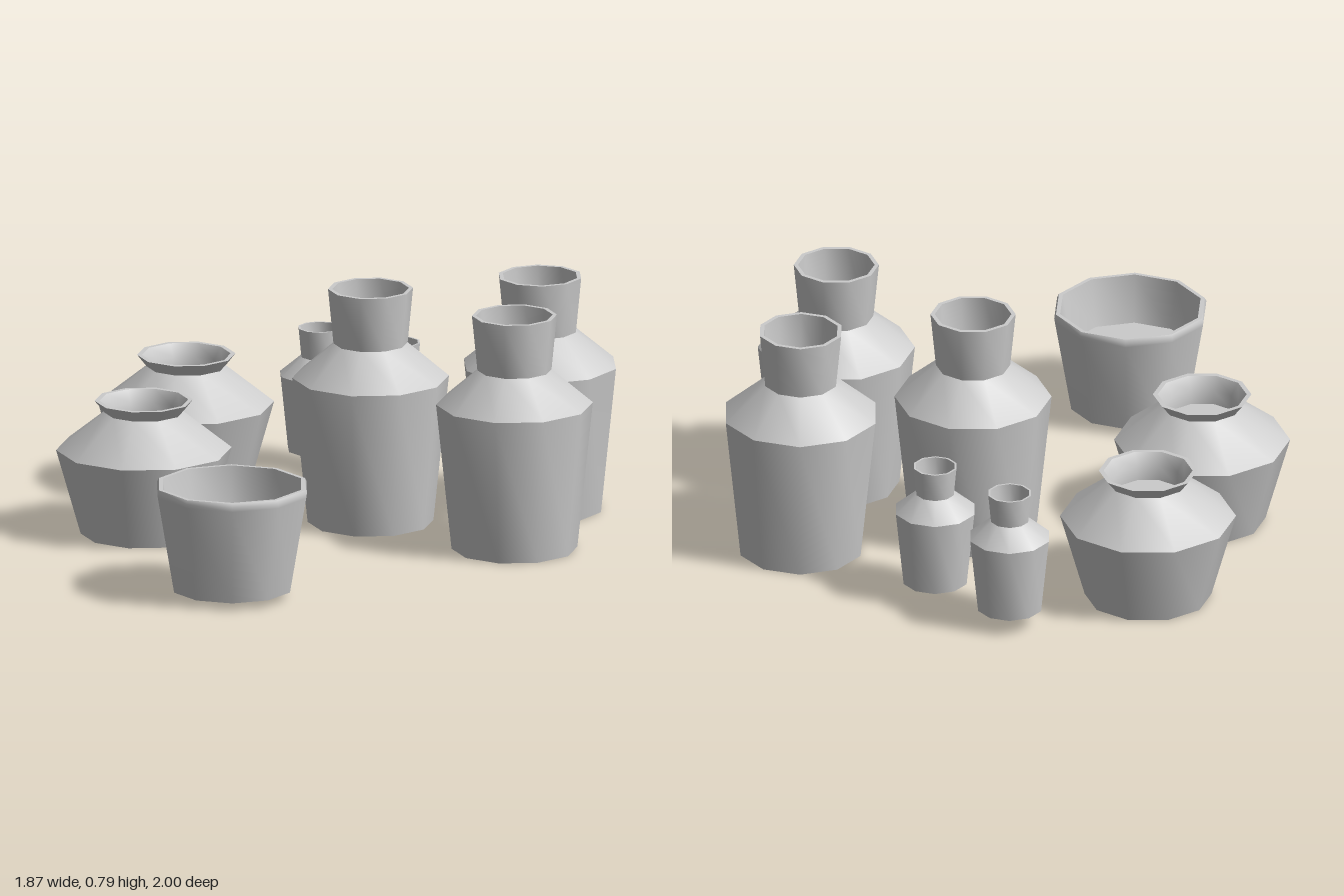
import * as THREE from 'three';
import { toCreasedNormals } from 'three/addons/utils/BufferGeometryUtils.js';

const SIDES = 10;
const CREASE = 0.9;

// Profiles [radius, height]: open base, outer wall, rim, inner wall, sunken floor
const TALL = [
  [0.207, 0], [0.258, 0.49], [0.122, 0.605], [0.14, 0.79],
  [0.126, 0.79], [0.11, 0.605], [0, 0.605],
];
const SQUAT = [
  [0.208, 0], [0.289, 0.285], [0.13, 0.41], [0.162, 0.45],
  [0.146, 0.45], [0.118, 0.41], [0.118, 0.36], [0, 0.36],
];
const BOWL = [
  [0.2, 0], [0.256, 0.325], [0.258, 0.34], [0.252, 0.352],
  [0.238, 0.352], [0.21, 0.19], [0, 0.19],
];

// name, profile, x, y, z, turn in degrees, scale
const VESSELS = [
  ['tallVaseBack', TALL, 0.453, 0, -0.743, 21, 1],
  ['tallVaseMiddle', TALL, 0.096, 0, -0.287, 3.5, 1],
  ['tallVaseLeft', TALL, 0.678, 0, -0.287, 3.5, 1],
  ['smallVaseRight', TALL, -0.438, 0.06, -0.745, 21, 0.525],
  ['smallVaseLeft', TALL, -0.121, 0.06, -0.745, 21, 0.525],
  ['squatPotBack', SQUAT, -0.649, 0, -0.287, 3.5, 1],
  ['squatPotFront', SQUAT, -0.422, 0, 0.267, 3.5, 1],
  ['openBowl', BOWL, 0.276, 0.025, 0.742, 90, 1],
];

export function createModel() {
  const group = new THREE.Group();
  group.name = 'potteryGroup';
  const clay = new THREE.MeshStandardMaterial({ color: 0xcccccc, side: THREE.DoubleSide });

  for (const [name, profile, x, y, z, turn, scale] of VESSELS) {
    const points = profile.map(([r, h]) => new THREE.Vector2(r, h));
    const start = THREE.MathUtils.degToRad(turn + 90);
    const lathe = new THREE.LatheGeometry(points, SIDES, start);
    const vessel = new THREE.Mesh(toCreasedNormals(lathe, CREASE), clay);
    vessel.name = name;
    vessel.position.set(x, y, z);
    vessel.scale.setScalar(scale);
    group.add(vessel);
  }
  return group;
}
